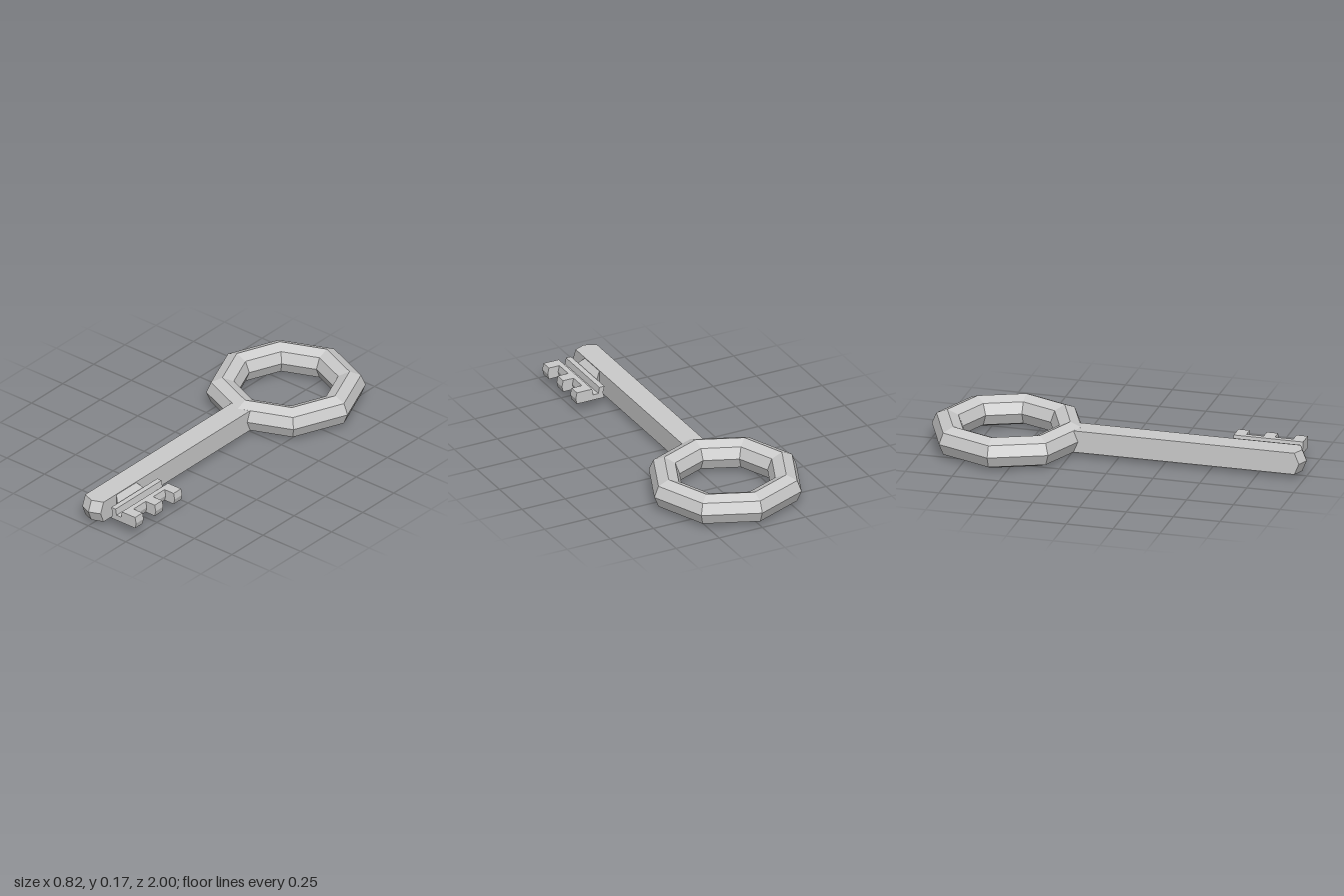
import * as THREE from 'three';

const MID = 0.083; // height of the key's middle plane

export function createModel() {
  const key = new THREE.Group();
  key.name = 'key';
  const material = new THREE.MeshStandardMaterial({ color: 0xcccccc, flatShading: true });

  const add = (name, geometry, x, y, z) => {
    const mesh = new THREE.Mesh(geometry, material);
    mesh.name = name;
    mesh.position.set(x, y, z);
    key.add(mesh);
    return mesh;
  };

  // Moves every vertex of a geometry by a rule
  const reshape = (geometry, rule) => {
    const p = geometry.attributes.position;
    const v = new THREE.Vector3();
    for (let i = 0; i < p.count; i++) {
      rule(v.fromBufferAttribute(p, i));
      p.setXYZ(i, v.x, v.y, v.z);
    }
    geometry.computeVertexNormals();
    return geometry;
  };

  // Prism along z from an xy outline
  const prism = (points, depth) => new THREE.ExtrudeGeometry(
    new THREE.Shape(points.map(([x, y]) => new THREE.Vector2(x, y))),
    { depth, bevelEnabled: false });

  // Octagonal bow
  add('bow', new THREE.TorusGeometry(0.328, 0.083, 8, 8).rotateX(Math.PI / 2), 0, MID, -0.589);

  // Square shank with a faceted, slightly pointed tip
  const shank = reshape(new THREE.BoxGeometry(0.122, 0.117, 1, 2, 2, 1), (v) => {
    if (v.z > 0) v.z = 1 - 0.41 * Math.abs(v.x) - (Math.abs(v.y) > 0.01 ? 0.024 : 0);
    else v.z = -0.24;
  });
  add('shank', shank, 0, MID, 0);

  // Neck: thins in height and widens along the shank towards the bit
  const neck = reshape(new THREE.BoxGeometry(1, 1, 1), (v) => {
    const outer = v.x > 0;
    v.x = outer ? 0.107 : 0.058;
    v.y = Math.sign(v.y) * (outer ? 0.004 : 0.058);
    v.z = Math.sign(v.z) * (outer ? 0.122 : 0.077);
  });
  add('neck', neck, 0, MID, 0.768);

  // Bit plate with a groove along its top
  const top = 0.117, bottom = 0.053;
  const plate = [
    [0.097, bottom], [0.196, bottom], [0.203, MID], [0.196, top], [0.168, top],
    [0.163, MID], [0.132, MID], [0.126, top], [0.097, top], [0.106, MID],
  ];
  add('bitPlate', prism(plate, 0.37), 0, 0, 0.563);

  // Three teeth
  const tooth = [[0.19, bottom], [0.256, bottom], [0.263, MID], [0.256, top], [0.19, top]];
  for (const z of [0.563, 0.715, 0.873]) add('tooth', prism(tooth, 0.06), 0, 0, z);

  return key;
}
